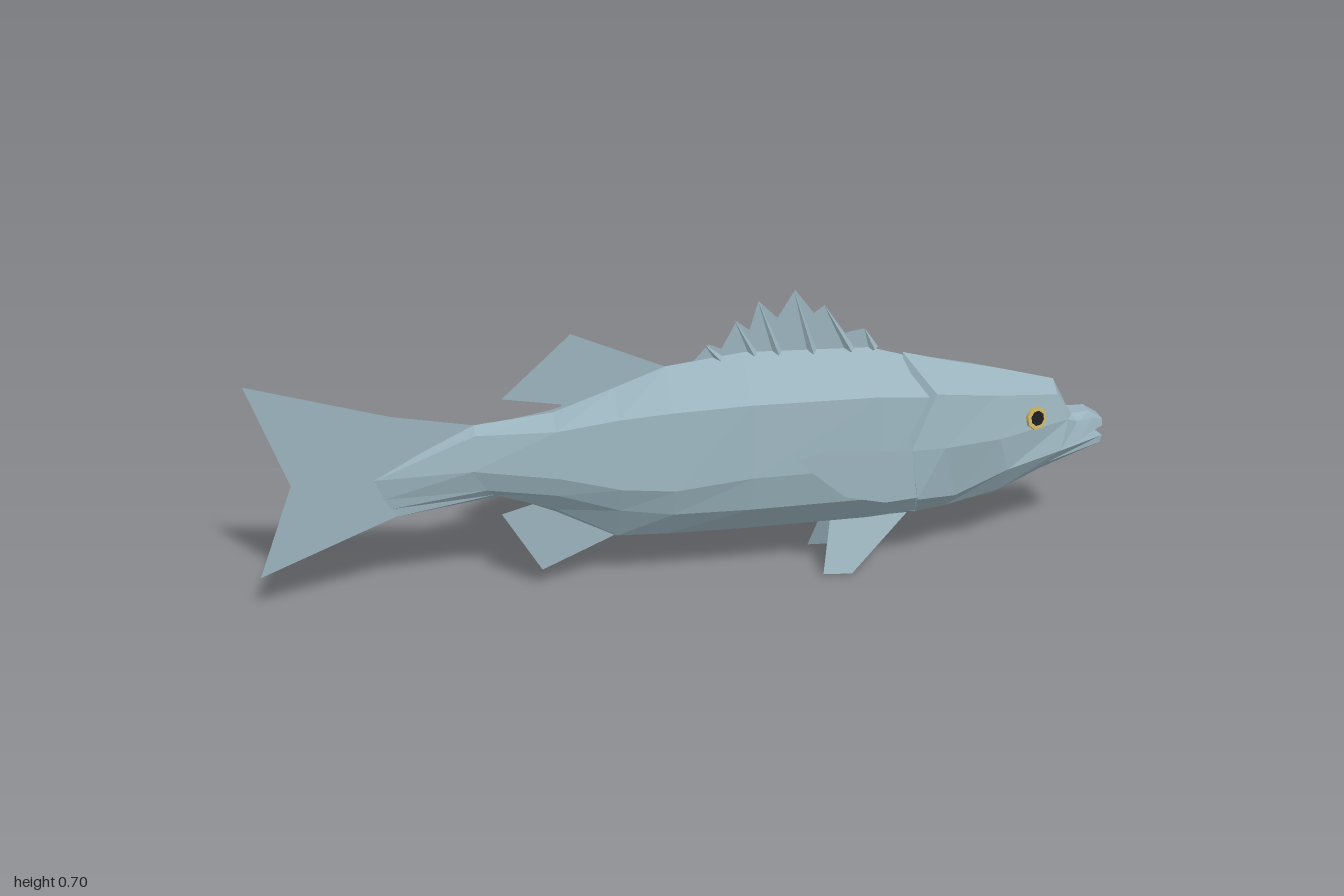
import * as THREE from 'three';

const skin = new THREE.MeshStandardMaterial({ color: 0x9ab3bd, flatShading: true });
skin.name = 'blue grey skin';
const finMat = new THREE.MeshStandardMaterial({ color: 0x9ab3bd, flatShading: true, side: THREE.DoubleSide });
finMat.name = 'blue grey fin';
const gold = new THREE.MeshStandardMaterial({ color: 0xc9b063 });
gold.name = 'gold iris';
const black = new THREE.MeshStandardMaterial({ color: 0x1c1c1c });
black.name = 'black pupil';

// Closed loft through mirrored half sections, each listed from top to bottom on the +z side
function loft(name, halves) {
  const rings = halves.map(h => [
    ...h, ...h.slice(1, -1).reverse().map(([x, y, z]) => [x, y, -z]),
  ]);
  // Sections whose first or last point is off the centre line are flat across the top or bottom
  const n = rings[0].length, pos = [];
  const tri = (a, b, c) => pos.push(...a, ...b, ...c);
  for (let i = 0; i < rings.length - 1; i++) {
    for (let j = 0; j < n; j++) {
      const k = (j + 1) % n, A = rings[i], B = rings[i + 1];
      // mirrored diagonals keep both flanks alike
      if (j < n / 2) { tri(A[j], A[k], B[j]); tri(A[k], B[k], B[j]); }
      else { tri(A[j], A[k], B[k]); tri(A[j], B[k], B[j]); }
    }
  }
  const first = rings[0], last = rings[rings.length - 1];
  for (let j = 1; j < n - 1; j++) {
    tri(last[0], last[j], last[j + 1]);
    tri(first[0], first[j + 1], first[j]);
  }
  const g = new THREE.BufferGeometry();
  g.setAttribute('position', new THREE.Float32BufferAttribute(pos, 3));
  g.computeVertexNormals();
  const m = new THREE.Mesh(g, skin);
  m.name = name;
  return m;
}

// Thin fin from an outline; zRule bends it away from the centre plane
function fin(name, pts, zRule) {
  const g = new THREE.ShapeGeometry(new THREE.Shape(pts.map(p => new THREE.Vector2(...p))));
  if (zRule) {
    const p = g.attributes.position;
    for (let i = 0; i < p.count; i++) p.setZ(i, zRule(p.getX(i), p.getY(i)));
    g.computeVertexNormals();
  }
  const m = new THREE.Mesh(g, finMat);
  m.name = name;
  return m;
}

// One trunk section: top, shoulder, flank, lower flank, belly edge, keel
const section = (x, top, sh, mid, low, edge, keel) =>
  [[x, top, 0], [x, ...sh], [x, ...mid], [x, ...low], [x, ...edge], [x, keel, 0]];

export function createModel() {
  const fish = new THREE.Group();
  fish.name = 'fish';

  // Trunk, from the tail root to behind the gills
  fish.add(loft('body', [
    [[-0.53, 0.437, 0], [-0.62, 0.38, 0], [-0.73, 0.32, 0], [-0.71, 0.27, 0], [-0.695, 0.245, 0], [-0.68, 0.225, 0]],
    [[-0.5, 0.437, 0], [-0.5, 0.42, 0.022], [-0.51, 0.34, 0.04], [-0.48, 0.285, 0.03], [-0.46, 0.265, 0.015], [-0.44, 0.255, 0]],
    section(-0.32, 0.452, [0.43, 0.06], [0.32, 0.075], [0.27, 0.06], [0.215, 0.02], 0.2),
    section(-0.18, 0.5, [0.455, 0.08], [0.29, 0.1], [0.225, 0.075], [0.135, 0.025], 0.122),
    section(-0.06, 0.543, [0.467, 0.093], [0.28, 0.112], [0.21, 0.09], [0.13, 0.03], 0.116),
    section(0.12, 0.562, [0.476, 0.107], [0.3, 0.122], [0.21, 0.102], [0.125, 0.03], 0.111),
    section(0.42, 0.549, [0.472, 0.113], [0.3, 0.126], [0.21, 0.106], [0.122, 0.03], 0.108),
    section(0.56, 0.505, [0.455, 0.105], [0.3, 0.115], [0.21, 0.095], [0.13, 0.03], 0.12),
  ]));

  // Head, with the gill cover standing proud of the trunk
  fish.add(loft('head', [
    [[0.5, 0.53, 0], [0.55, 0.469, 0.116], [0.49, 0.34, 0.136], [0.51, 0.212, 0.135], [0.54, 0.125, 0.03], [0.52, 0.114, 0]],
    [[0.62, 0.497, 0], [0.58, 0.465, 0.117], [0.57, 0.34, 0.138], [0.61, 0.2, 0.108], [0.61, 0.14, 0.04], [0.61, 0.122, 0]],
    [[0.74, 0.468, 0], [0.7, 0.444, 0.098], [0.71, 0.34, 0.117], [0.74, 0.25, 0.1], [0.74, 0.175, 0.05], [0.74, 0.138, 0]],
    [[0.875, 0.43, 0], [0.87, 0.41, 0.05], [0.9, 0.345, 0.055], [0.88, 0.275, 0.075], [0.86, 0.235, 0.05], [0.86, 0.195, 0]],
  ]));

  // Snout and jaws around the open mouth
  fish.add(loft('upperJaw', [
    [[0.875, 0.43, 0], [0.87, 0.41, 0.05], [0.9, 0.345, 0.055], [0.88, 0.277, 0.075], [0.88, 0.28, 0]],
    [[0.92, 0.345, 0], [0.92, 0.345, 0.022], [0.93, 0.33, 0.04], [0.93, 0.285, 0.055], [0.92, 0.295, 0]],
    [[0.965, 0.345, 0], [0.965, 0.345, 0.02], [0.975, 0.33, 0.025], [0.98, 0.3, 0.03], [0.97, 0.303, 0]],
    [[1, 0.322, 0], [1, 0.322, 0.02], [1, 0.315, 0.022], [1, 0.305, 0.024], [1, 0.305, 0]],
  ]));
  fish.add(loft('lowerJaw', [
    [[0.86, 0.272, 0], [0.87, 0.272, 0.076], [0.86, 0.235, 0.05], [0.86, 0.195, 0]],
    [[0.995, 0.282, 0], [1, 0.282, 0.028], [0.995, 0.264, 0.028], [0.99, 0.26, 0]],
  ]));

  // Fins on the centre plane
  fish.add(fin('tailFin', [[-1, 0.575], [-0.915, 0.325], [-1, 0.1], [-0.685, 0.225], [-0.6, 0.3], [-0.5, 0.437], [-0.685, 0.475]]));
  fish.add(fin('rearDorsalFin', [[-0.435, 0.495], [-0.275, 0.64], [-0.055, 0.54], [-0.18, 0.48], [-0.3, 0.44], [-0.3, 0.47]]));
  fish.add(fin('analFin', [[-0.445, 0.205], [-0.355, 0.05], [-0.18, 0.125], [-0.2, 0.17], [-0.3, 0.24], [-0.37, 0.225]]));
  fish.add(fin('spinyDorsalFin', [
    [0.0, 0.545], [0.04, 0.588], [0.07, 0.575], [0.105, 0.64], [0.135, 0.615], [0.155, 0.685], [0.2, 0.64], [0.24, 0.705],
    [0.285, 0.645], [0.31, 0.662], [0.36, 0.59], [0.405, 0.597], [0.435, 0.54],
  ]));

  // Dorsal spines, leaning back: base x, tip x, tip y
  [[0.07, 0.03, 0.59], [0.15, 0.1, 0.643], [0.205, 0.153, 0.688], [0.285, 0.237, 0.705], [0.375, 0.308, 0.664], [0.43, 0.405, 0.6]]
    .forEach(([bx, tx, ty]) => {
      const base = new THREE.Vector3(bx, 0.545, 0), dir = new THREE.Vector3(tx, ty, 0).sub(base);
      const spine = new THREE.Mesh(new THREE.ConeGeometry(0.011, dir.length(), 4), skin);
      spine.position.copy(base).addScaledVector(dir, 0.5);
      spine.quaternion.setFromUnitVectors(new THREE.Vector3(0, 1, 0), dir.normalize());
      spine.name = 'dorsalSpine';
      fish.add(spine);
    });

  // Paired fins and eyes
  for (const [side, s] of [['left', 1], ['right', -1]]) {
    fish.add(fin(side + 'PectoralFin',
      [[0.21, 0.355], [0.275, 0.37], [0.49, 0.338], [0.51, 0.215], [0.43, 0.215], [0.33, 0.245]],
      x => s * (0.132 + (0.5 - x) * 0.115)));
    fish.add(fin(side + 'PelvicFin',
      [[0.33, 0.125], [0.305, 0.005], [0.375, 0], [0.52, 0.125]],
      (x, y) => s * (0.078 - y * 0.39)));

    const eye = new THREE.Group();
    eye.name = side + 'Eye';
    const iris = new THREE.Mesh(new THREE.CylinderGeometry(0.028, 0.028, 0.009, 8), gold);
    iris.name = 'iris';
    const pupil = new THREE.Mesh(new THREE.CylinderGeometry(0.018, 0.018, 0.009, 8), black);
    pupil.name = 'pupil';
    pupil.position.y = 0.002;
    eye.add(iris, pupil);
    eye.position.set(0.808, 0.37, s * 0.083);
    eye.quaternion.setFromUnitVectors(new THREE.Vector3(0, 1, 0), new THREE.Vector3(0.3, 0.2, s * 0.93).normalize());
    fish.add(eye);
  }
  return fish;
}
